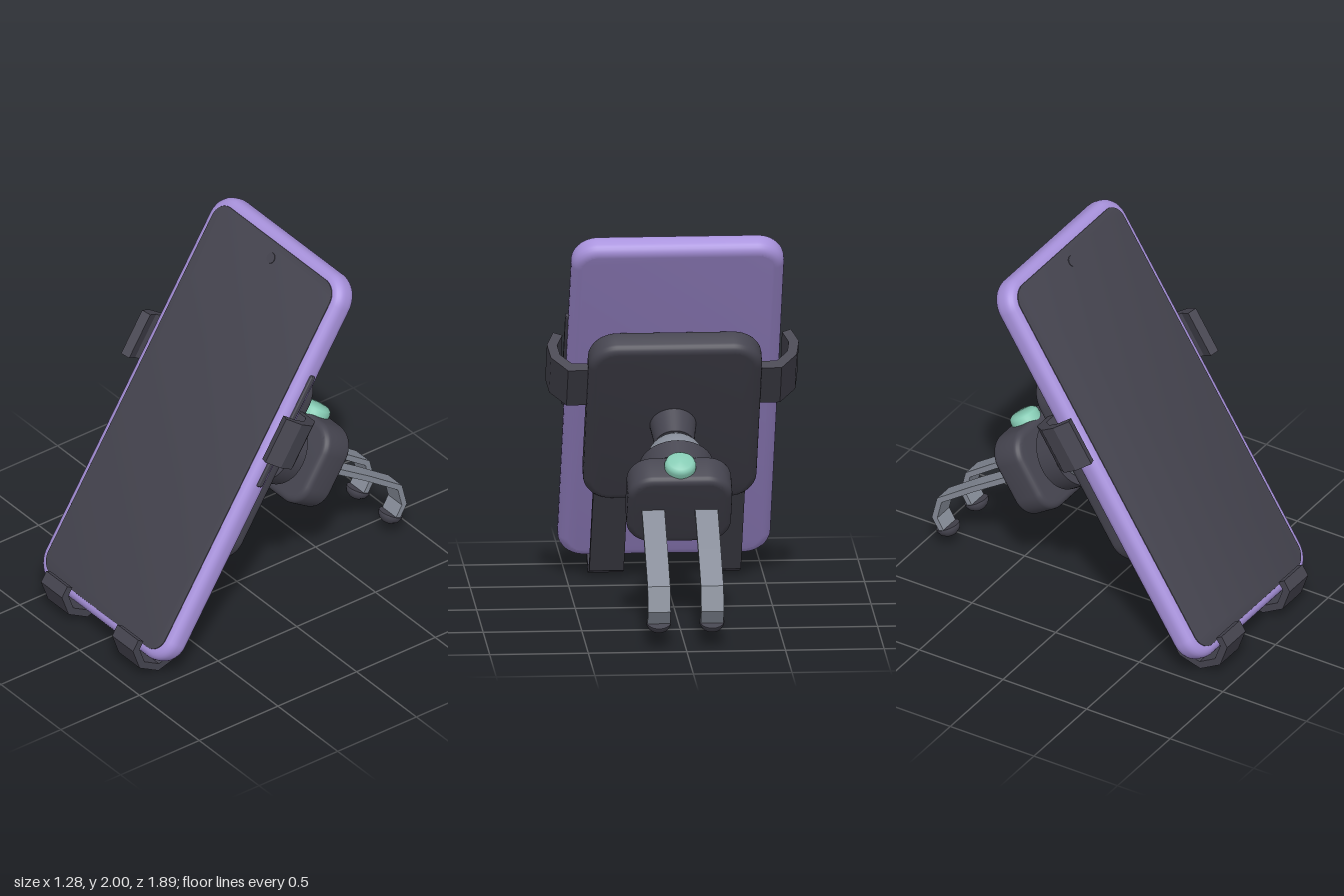
import * as THREE from 'three';
import { toCreasedNormals } from 'three/addons/utils/BufferGeometryUtils.js';

const material = (name, color, side = THREE.FrontSide) =>
  Object.assign(new THREE.MeshStandardMaterial({ color, side }), { name });

function roundedRect(w, h, r) {
  const s = new THREE.Shape(), x = w / 2, y = h / 2;
  s.moveTo(-x + r, -y);
  s.lineTo(x - r, -y);
  s.absarc(x - r, -y + r, r, -Math.PI / 2, 0);
  s.absarc(x - r, y - r, r, 0, Math.PI / 2);
  s.absarc(-x + r, y - r, r, Math.PI / 2, Math.PI);
  s.absarc(-x + r, -y + r, r, Math.PI, Math.PI * 1.5);
  return s;
}

// Slab in the xy plane with rounded corners and rounded edges, centred
function slab(w, h, depth, corner, bevel) {
  const g = new THREE.ExtrudeGeometry(
    roundedRect(w - 2 * bevel, h - 2 * bevel, corner - bevel),
    { depth: depth - 2 * bevel, bevelSize: bevel, bevelThickness: bevel, bevelSegments: 5, curveSegments: 8 });
  g.translate(0, 0, bevel - depth / 2);
  return toCreasedNormals(g, 0.6);
}

// Bent strip: a polyline given thickness, extruded to a width
function strip(points, thickness, width) {
  const p = points.map(([x, y]) => new THREE.Vector2(x, y));
  const left = [], right = [];
  p.forEach((pt, i) => {
    const a = pt.clone().sub(p[Math.max(i - 1, 0)]).normalize();
    const b = p[Math.min(i + 1, p.length - 1)].clone().sub(pt).normalize();
    const dir = a.clone().add(b).normalize();
    const ref = i ? a : b;
    const k = thickness / 2 / Math.max(dir.dot(ref), 0.5);
    const n = new THREE.Vector2(-dir.y, dir.x).multiplyScalar(k);
    left.push(pt.clone().add(n));
    right.unshift(pt.clone().sub(n));
  });
  const g = new THREE.ExtrudeGeometry(new THREE.Shape([...left, ...right]), { depth: width, bevelEnabled: false });
  return g.translate(0, 0, -width / 2);
}

export function createModel() {
  const dark = material('charcoal', 0x45444f);
  const purple = material('lilac', 0xa892dc);
  const grey = material('steel grey', 0x868c98);
  const green = material('mint', 0x86cbb4);

  const model = new THREE.Group();
  model.name = 'phoneHolder';
  // Everything but the hooks lies in a frame leaning backwards
  const tilted = new THREE.Group();
  tilted.name = 'tiltedParts';
  tilted.rotation.x = -0.567;
  model.add(tilted);

  const add = (parent, name, geometry, mat, x = 0, y = 0, z = 0) => {
    const m = new THREE.Mesh(geometry, mat);
    m.name = name;
    m.position.set(x, y, z);
    parent.add(m);
    return m;
  };

  // Phone
  const midY = 0.754;
  add(tilted, 'phoneBody', slab(1.08, 2.217, 0.13, 0.14, 0.05), purple, 0, midY, 0.775);
  add(tilted, 'screen', slab(0.98, 2.117, 0.008, 0.09, 0.002), dark, 0, midY, 0.841);
  add(tilted, 'cameraDot', new THREE.CylinderGeometry(0.028, 0.028, 0.006, 24).rotateX(Math.PI / 2), dark, 0, 1.731, 0.846);
  add(tilted, 'sideButton', slab(0.03, 0.64, 0.03, 0.014, 0.006), dark, 0.54, 1.025, 0.775);

  // Cradle plate, neck and ball joint
  const alongZ = (rFront, rBack, len) => new THREE.CylinderGeometry(rFront, rBack, len, 40).rotateX(Math.PI / 2);
  add(tilted, 'backPlate', slab(0.88, 1.09, 0.145, 0.15, 0.04), dark, 0, midY, 0.632);
  add(tilted, 'neck', alongZ(0.12, 0.1, 0.16), dark, 0, midY, 0.5);
  add(tilted, 'ball', new THREE.SphereGeometry(0.15, 40, 24), grey, 0, midY, 0.295);
  add(tilted, 'collar', alongZ(0.19, 0.19, 0.11), dark, 0, midY, 0.21);
  add(tilted, 'collarStem', alongZ(0.14, 0.14, 0.08), dark, 0, midY, 0.135);
  add(tilted, 'clipBody', slab(0.53, 0.45, 0.185, 0.13, 0.035), dark, 0, midY, 0.033);

  // Release button on top of the clip body
  const buttonProfile = [[0, -0.03], [0.08, -0.03], [0.08, 0.025], [0.074, 0.04], [0.06, 0.05], [0, 0.054]]
    .map(([x, y]) => new THREE.Vector2(x, y));
  add(tilted, 'releaseButton', toCreasedNormals(new THREE.LatheGeometry(buttonProfile, 32), 0.6), green, 0, 0.972, 0.04);

  for (const side of [1, -1]) {
    // Side clamp arm
    const arm = [[0.38, 0.63], [0.53, 0.63], [0.6, 0.71], [0.613, 0.79], [0.58, 0.868]].map(([x, z]) => [x * side, z]);
    add(tilted, 'sideClamp', strip(arm, 0.05, 0.25).rotateX(Math.PI / 2), dark, 0, 0.985, 0);

    // Bottom support hook, path in (z, y)
    const foot = [[0.32, 0.623], [0.68, 0.06], [0.79, 0.027], [0.895, 0.085], [0.932, 0.19], [0.903, 0.237]];
    add(model, 'bottomHook', strip(foot, 0.038, 0.175).rotateY(-Math.PI / 2), dark, side * 0.297);

    // Vent hook and its soft tip
    const vent = [[-0.42, 0.63], [-0.69, 0.455], [-0.89, 0.315], [-0.918, 0.2], [-0.873, 0.125]];
    add(model, 'ventHook', strip(vent, 0.03, 0.115).rotateY(-Math.PI / 2), grey, side * 0.135);

    const tip = [[0, -0.055], [0.03, -0.05], [0.052, -0.034], [0.063, -0.012], [0.063, 0], [0, 0]]
      .map(([x, y]) => new THREE.Vector2(x, y));
    const pad = add(model, 'ventHookTip', toCreasedNormals(new THREE.LatheGeometry(tip, 28), 0.7), dark, side * 0.135, 0.137, -0.875);
    pad.rotation.x = -0.43;
  }
  return model;
}
